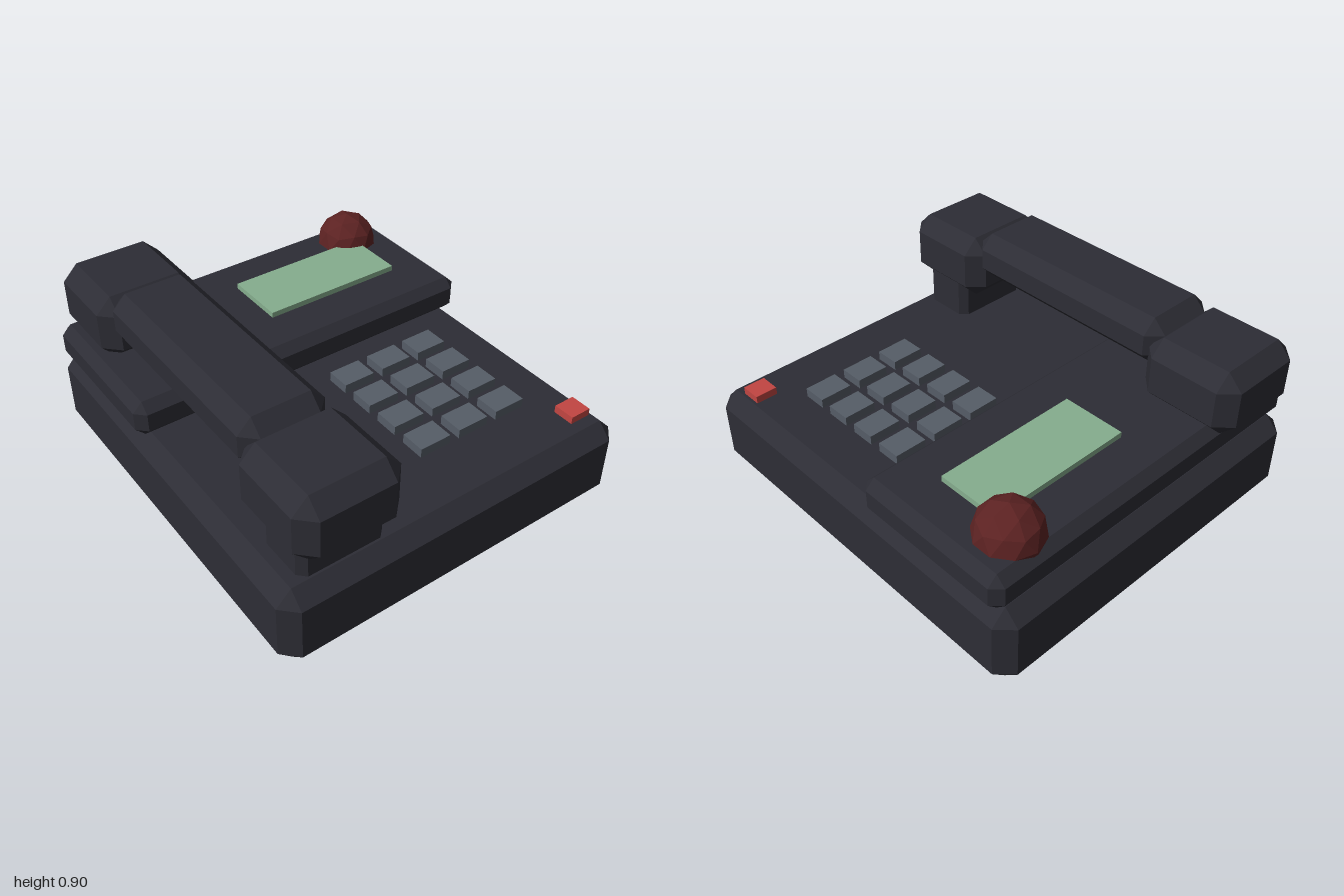
import * as THREE from 'three';
import { ConvexGeometry } from 'three/addons/geometries/ConvexGeometry.js';

// Box between two corners with every edge cut at 45 degrees by c.
function chamferBox([x0, y0, z0], [x1, y1, z1], c) {
  const half = [(x1 - x0) / 2, (y1 - y0) / 2, (z1 - z0) / 2];
  const points = [];
  for (const sx of [-1, 1]) for (const sy of [-1, 1]) for (const sz of [-1, 1]) {
    for (let axis = 0; axis < 3; axis++) {
      const h = half.map((v, i) => (i === axis ? v : v - c));
      points.push(new THREE.Vector3(sx * h[0], sy * h[1], sz * h[2]));
    }
  }
  return new ConvexGeometry(points).translate((x0 + x1) / 2, (y0 + y1) / 2, (z0 + z1) / 2);
}

// Plain box between two corners.
function plainBox([x0, y0, z0], [x1, y1, z1]) {
  return new THREE.BoxGeometry(x1 - x0, y1 - y0, z1 - z0)
    .translate((x0 + x1) / 2, (y0 + y1) / 2, (z0 + z1) / 2);
}

export function createModel() {
  const group = new THREE.Group();
  group.name = 'deskPhone';

  const paint = (name, color) => {
    const m = new THREE.MeshStandardMaterial({ color, flatShading: true });
    m.name = name;
    return m;
  };
  const casing = paint('darkCasing', 0x2d2d35);
  const keyGrey = paint('keyGrey', 0x565d67);
  const screenGreen = paint('screenGreen', 0x86ae8e);
  const buttonRed = paint('buttonRed', 0xc24642);
  const lampRed = paint('lampDarkRed', 0x5c2222);

  const add = (name, geometry, material, parent = group) => {
    const mesh = new THREE.Mesh(geometry, material);
    mesh.name = name;
    parent.add(mesh);
    return mesh;
  };

  // Body and raised rear panel
  add('base', chamferBox([-0.89, 0, -0.975], [0.89, 0.4, 0.975], 0.07), casing);
  add('rearPanel', chamferBox([-0.89, 0.4, -0.93], [0.89, 0.578, -0.135], 0.045), casing);

  // Front cradle post under the handset
  add('cradlePost', chamferBox([-0.77, 0.36, 0.63], [-0.36, 0.63, 0.895], 0.035), casing);

  // Handset: a grip with a cup at each end
  const handset = new THREE.Group();
  handset.name = 'handset';
  group.add(handset);
  add('grip', chamferBox([-0.78, 0.67, -0.57], [-0.38, 0.9, 0.57], 0.065), casing, handset);
  add('mouthpiece', chamferBox([-0.825, 0.535, 0.515], [-0.338, 0.855, 1], 0.073), casing, handset);
  add('earpiece', chamferBox([-0.825, 0.535, -1], [-0.338, 0.855, -0.515], 0.073), casing, handset);

  // Display
  add('screen', plainBox([-0.05, 0.55, -0.69], [0.665, 0.605, -0.38]), screenGreen);

  // Faceted lamp, turned so that one vertex points up
  const lamp = new THREE.IcosahedronGeometry(0.15, 1)
    .rotateX(-Math.atan((1 + Math.sqrt(5)) / 2))
    .rotateY(Math.PI / 2);
  add('lamp', lamp, lampRed).position.set(0.665, 0.577, -0.763);

  // Keypad, four rows of three
  const keypad = new THREE.Group();
  keypad.name = 'keypad';
  group.add(keypad);
  const keyGeometry = new THREE.BoxGeometry(0.16, 0.065, 0.12);
  for (let row = 0; row < 4; row++) {
    for (let col = 0; col < 3; col++) {
      add('key', keyGeometry, keyGrey, keypad)
        .position.set(0.105 + col * 0.212, 0.4125, 0.04 + row * 0.178);
    }
  }

  // Red button in the front corner
  add('redButton', plainBox([0.7, 0.38, 0.747], [0.807, 0.436, 0.85]), buttonRed);

  return group;
}
